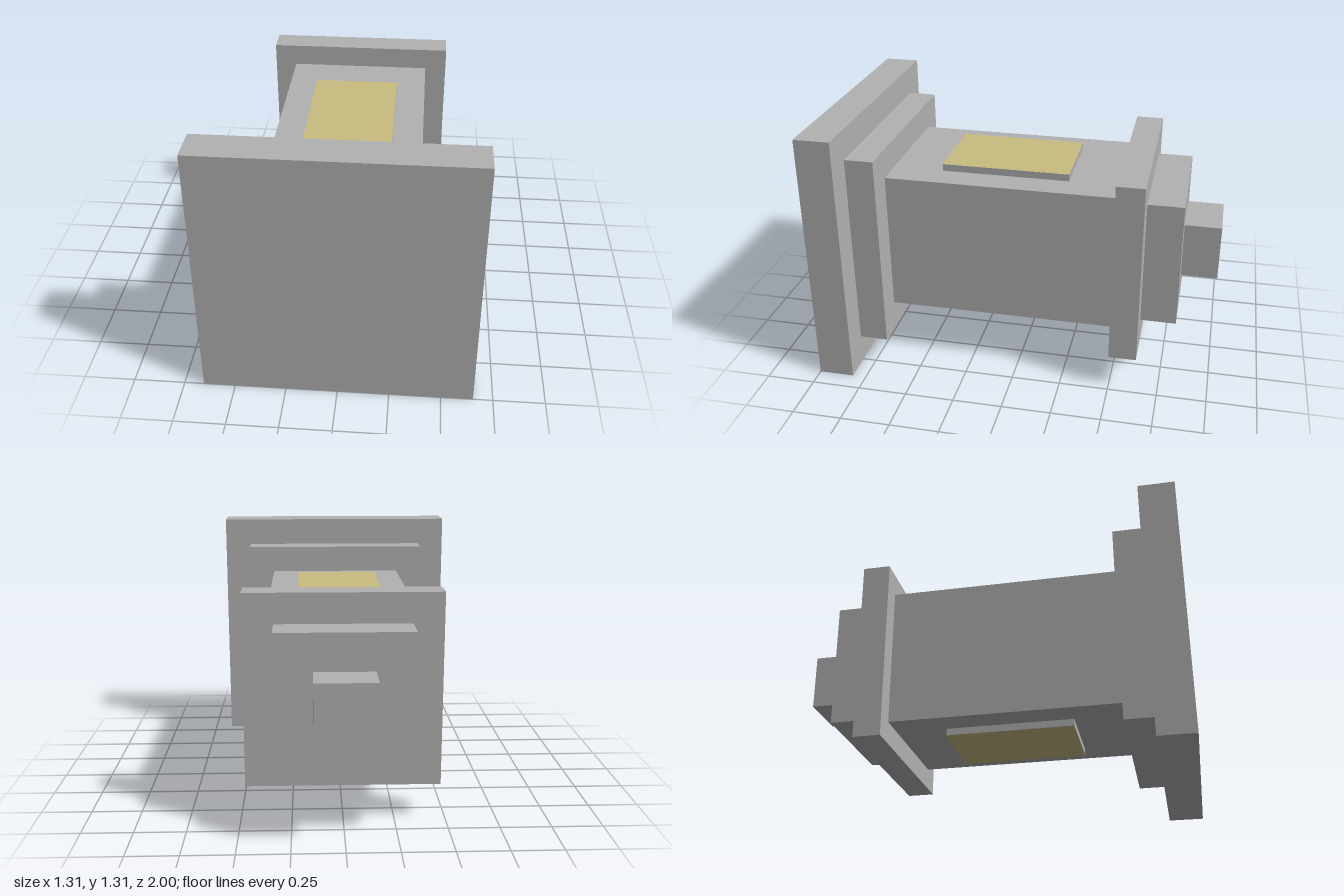
import * as THREE from 'three';

export function createModel() {
  const model = new THREE.Group();
  const grey = new THREE.MeshStandardMaterial({ color: 0xb2b2b2 });
  grey.name = 'grey';
  const gold = new THREE.MeshStandardMaterial({ color: 0xc8bc80 });
  gold.name = 'gold';
  const axisY = 0.655;

  const addBox = (name, w, h, d, y, z, material) => {
    const mesh = new THREE.Mesh(new THREE.BoxGeometry(w, h, d), material);
    mesh.name = name;
    mesh.position.set(0, y, z);
    model.add(mesh);
  };

  // Square blocks stacked along z: name, side, back z, front z
  const blocks = [
    ['frontPlate', 1.31, 0.82, 1],
    ['frontStep', 1.014, 0.675, 0.82],
    ['body', 0.726, -0.495, 0.675],
    ['rearCollar', 0.948, -0.635, -0.495],
    ['rearStep', 0.652, -0.815, -0.635],
    ['rearKnob', 0.288, -1, -0.815],
  ];
  for (const [name, side, back, front] of blocks) {
    addBox(name, side, side, front - back, axisY, (front + back) / 2, grey);
  }

  // Raised panels above and below the body, gold on the outward face only
  for (const s of [1, -1]) {
    const faces = [grey, grey, s > 0 ? gold : grey, s < 0 ? gold : grey, grey, grey];
    addBox(s > 0 ? 'topPanel' : 'bottomPanel', 0.43, 0.06, 0.65, axisY + s * 0.369, 0.09, faces);
  }
  return model;
}
